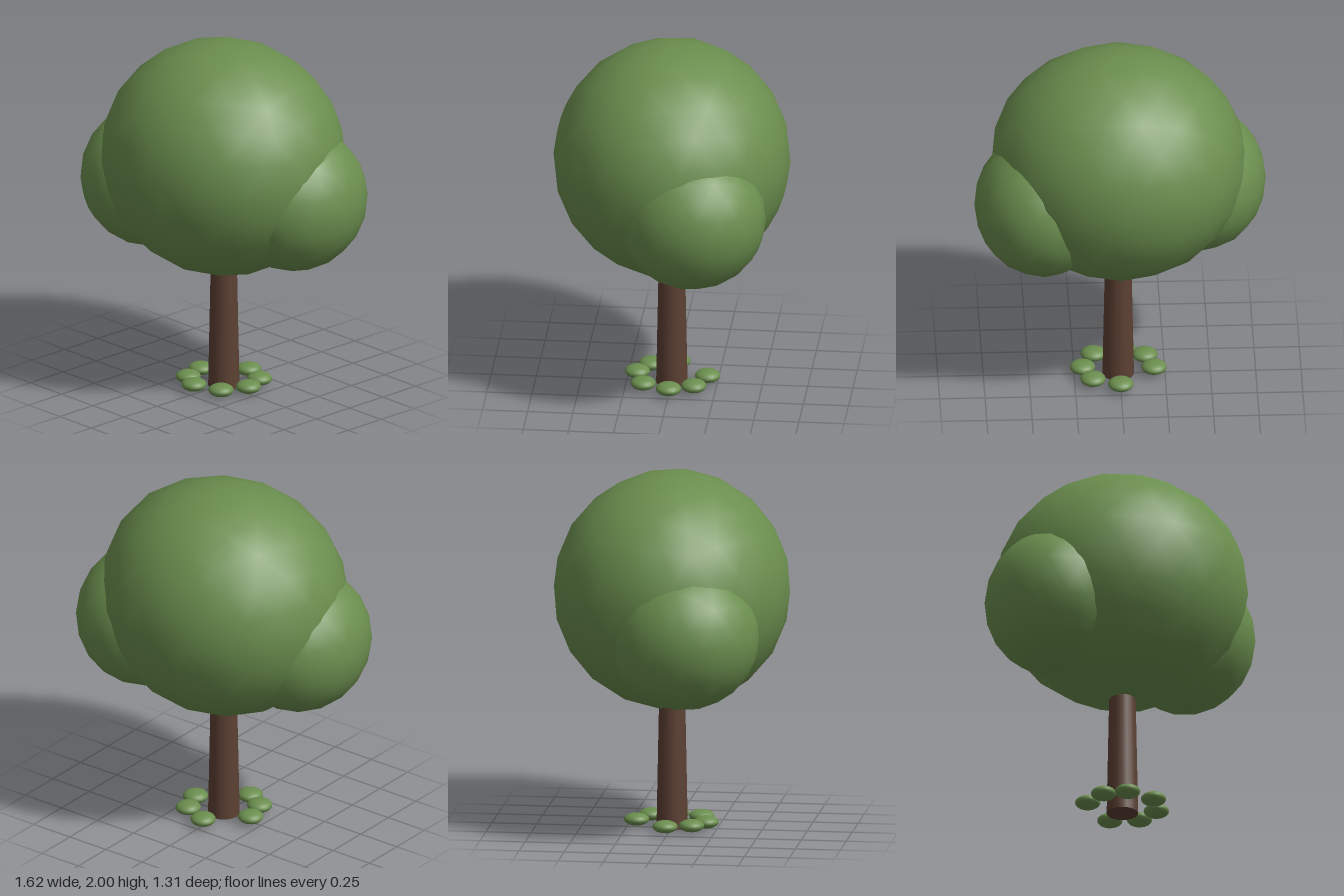
import * as THREE from 'three';

const leafGreen = new THREE.MeshStandardMaterial({ color: 0x6b8e4e });
leafGreen.name = 'leafGreen';
const barkBrown = new THREE.MeshStandardMaterial({ color: 0x5c4033 });
barkBrown.name = 'barkBrown';

// Smooth faceted ball with one vertex at the top, stretched into an ellipsoid
function blob(name, detail, center, radii) {
  const geometry = new THREE.IcosahedronGeometry(1, detail);
  geometry.rotateZ(Math.atan(2 / (1 + Math.sqrt(5))));
  geometry.rotateY(Math.PI / 2);
  const mesh = new THREE.Mesh(geometry, leafGreen);
  mesh.name = name;
  mesh.position.set(...center);
  mesh.scale.set(...radii);
  return mesh;
}

// Swell the vertices that lie near a direction
function swell(geometry, direction, amount) {
  const p = geometry.attributes.position;
  const v = new THREE.Vector3();
  for (let i = 0; i < p.count; i++) {
    v.fromBufferAttribute(p, i);
    const k = Math.max(0, v.clone().normalize().dot(direction));
    v.multiplyScalar(1 + amount * k ** 8);
    p.setXYZ(i, v.x, v.y, v.z);
  }
}

export function createModel() {
  const tree = new THREE.Group();
  tree.name = 'tree';

  // Trunk, slightly tapered and leaning
  const trunkGeometry = new THREE.CylinderGeometry(0.069, 0.087, 0.9, 20);
  const trunk = new THREE.Mesh(trunkGeometry, barkBrown);
  trunk.name = 'trunk';
  trunk.position.set(0.007, 0.45, 0);
  tree.add(trunk);

  // Crown: one large mass with two side lobes
  const crown = blob('crown', 3, [0, 1.34, 0], [0.7, 0.66, 0.655]);
  swell(crown.geometry, new THREE.Vector3(0.8, 0.6, 0).normalize(), 0.04);
  tree.add(crown);
  tree.add(blob('leftLobe', 3, [0.425, 1.17, -0.15], [0.38, 0.405, 0.41]));
  tree.add(blob('rightLobe', 3, [-0.43, 1.16, 0.125], [0.38, 0.405, 0.415]));

  // Low leaf tufts around the foot, with a gap at the back
  const tufts = new THREE.Group();
  tufts.name = 'tufts';
  for (const degrees of [0, 48, 100, 140, 184, 268, 317]) {
    const a = THREE.MathUtils.degToRad(degrees);
    const center = [0.007 + 0.197 * Math.cos(a), 0.043, 0.197 * Math.sin(a)];
    tufts.add(blob('tuft', 3, center, [0.07, 0.035, 0.07]));
  }
  tree.add(tufts);

  return tree;
}
